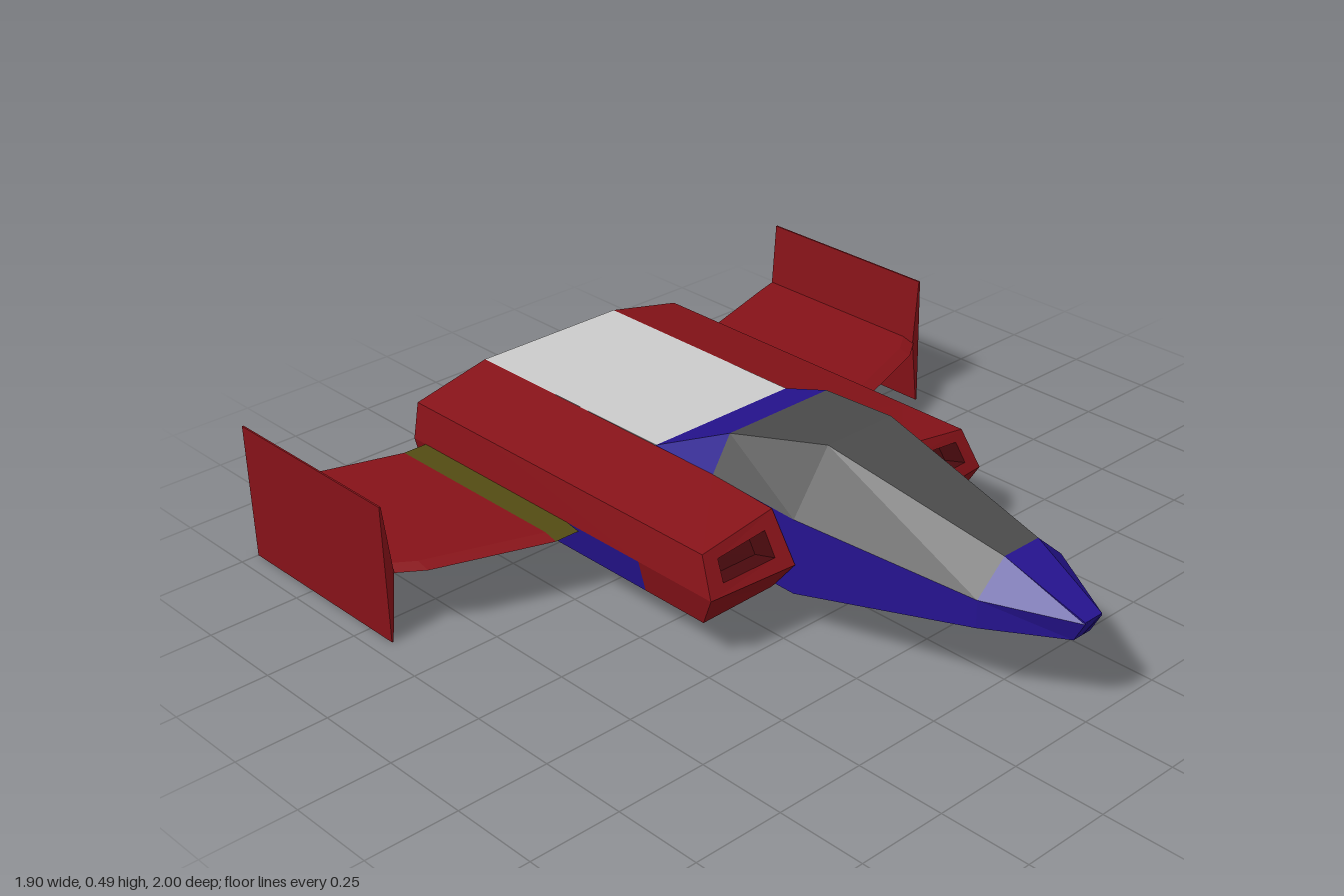
import * as THREE from 'three';

const RED = 0x861218, DARK_RED = 0x4a0a0e, BLUE = 0x25138f, SMOKE = 0x4a4a4a, OLIVE = 0x534b13, GREY = 0xcccccc;

// Mesh from convex polygons on the +x half, mirrored to -x
function mirrored(name, color, polys) {
  const pos = [];
  const fan = p => {
    for (let i = 1; i < p.length - 1; i++) pos.push(...p[0], ...p[i], ...p[i + 1]);
  };
  for (const p of polys) {
    fan(p);
    fan(p.map(([x, y, z]) => [-x, y, z]).reverse());
  }
  const geo = new THREE.BufferGeometry();
  geo.setAttribute('position', new THREE.Float32BufferAttribute(pos, 3));
  geo.computeVertexNormals();
  const mesh = new THREE.Mesh(geo, new THREE.MeshStandardMaterial({ color, flatShading: true }));
  mesh.name = name;
  return mesh;
}

// Quads between successive rings, kept where pick(station, strip) holds
function loft(rings, closed = false, pick = () => true) {
  const polys = [];
  for (let i = 0; i < rings.length - 1; i++) {
    const a = rings[i], b = rings[i + 1], n = a.length;
    for (let j = 0; j < (closed ? n : n - 1); j++) {
      const k = (j + 1) % n;
      if (pick(i, j)) polys.push([a[j], a[k], b[k], b[j]]);
    }
  }
  return polys;
}

const mix = (a, b, t) => a.map((v, i) => v + (b[i] - v) * t);

export function createModel() {
  const group = new THREE.Group();
  const add = (...args) => group.add(mirrored(...args));

  // Fuselage: z, top half-width, top y, belt half-width, belt y, bottom y, bottom z
  const fuselage = [
    [1, 0.03, 0.285, 0.03, 0.28, 0.225, 0.97],
    [0.78, 0.06, 0.38, 0.15, 0.3, 0.225, 0.78],
    [0.26, 0.11, 0.49, 0.225, 0.33, 0.122, 0.26],
    [-0.02, 0.17, 0.44, 0.23, 0.345, 0.13, -0.02],
    [-0.23, 0.23, 0.35, 0.23, 0.349, 0.13, -0.23],
  ].map(([z, tw, ty, bw, by, fy, fz]) =>
    [[0, ty, z], [tw, ty, z], [bw, by, z], [bw, fy, fz], [0, fy, fz]]);
  const isCanopy = (i, j) => (i === 1 || i === 2) && j < 2;
  add('canopy', SMOKE, loft(fuselage, false, isCanopy));
  add('fuselage', BLUE, [
    ...loft(fuselage, false, (i, j) => !isCanopy(i, j)),
    [...fuselage[0]].reverse(),
  ]);

  // Engine body with a wedge-shaped front
  const ring = (z, ay, ey) => [
    [0.23, ay, z], [0.46, 0.3, z], [0.48, 0.2, z], [0.46, 0.11, z], [0.23, ey, z], [0, ey, z]];
  const front = ring(0.19, 0.335, 0.115);
  front[2][2] = 0.24;
  const rear = ring(-0.93, 0.35, 0.1);
  const body = [front, ring(-0.02, 0.347, 0.105), ring(-0.65, 0.35, 0.1), rear];
  const isPanel = (i, j) => i === 1 && j === 2;
  const [A, B, C, D, E] = front;
  const T = [0.23, 0.21, 0.27];

  // Intake: frame around an opening in the upper front face, then a recess
  const at = (u, v) => mix(mix(A, B, u), mix(T, C, u), v);
  const rim = [A, T, C, B];
  const hole = [at(0.18, 0.25), at(0.18, 0.75), at(0.82, 0.75), at(0.82, 0.25)];
  const floor = hole.map(([x, y, z]) => [x, y - 0.02, z - 0.07]);
  add('engineBody', RED, [
    ...loft(body, false, (i, j) => !isPanel(i, j)),
    ...loft([rim, hole], true),
    [T, E, D, C], [A, E, T],
  ]);
  add('sidePanel', BLUE, loft(body, false, isPanel));
  add('intakeRecess', DARK_RED, [...loft([hole, floor], true), floor]);

  // Rear deck and tail plate
  add('rearDeck', GREY, [[[0, 0.35, -0.23], [0.23, 0.35, -0.23], rear[0], [0, 0.35, -0.93]]]);
  add('tailPlate', GREY, [[[0, 0.35, -0.93], ...rear]]);

  // Wings: x, leading z, trailing z, with a bevelled leading edge
  const wing = [
    [0.46, -0.25, -0.88], [0.55, -0.25, -0.88], [0.86, -0.36, -0.98], [0.93, -0.41, -1],
  ].map(([x, lead, trail]) => [
    [x, 0.2, trail], [x, 0.2, lead - 0.04], [x, 0.19, lead], [x, 0.18, lead - 0.04], [x, 0.18, trail]]);
  add('wingRoot', OLIVE, loft(wing.slice(0, 2), true));
  add('wing', RED, loft(wing.slice(1), true));

  // Wingtip fins, thickest where they meet the wing
  const fin = [-0.41, -1].map(z => [
    [0.945, 0.38, z], [0.95, 0.38, z], [0.95, 0, z], [0.945, 0, z], [0.925, 0.19, z]]);
  add('wingtipFin', RED, [...loft(fin, true), [...fin[0]].reverse(), fin[1]]);

  return group;
}
